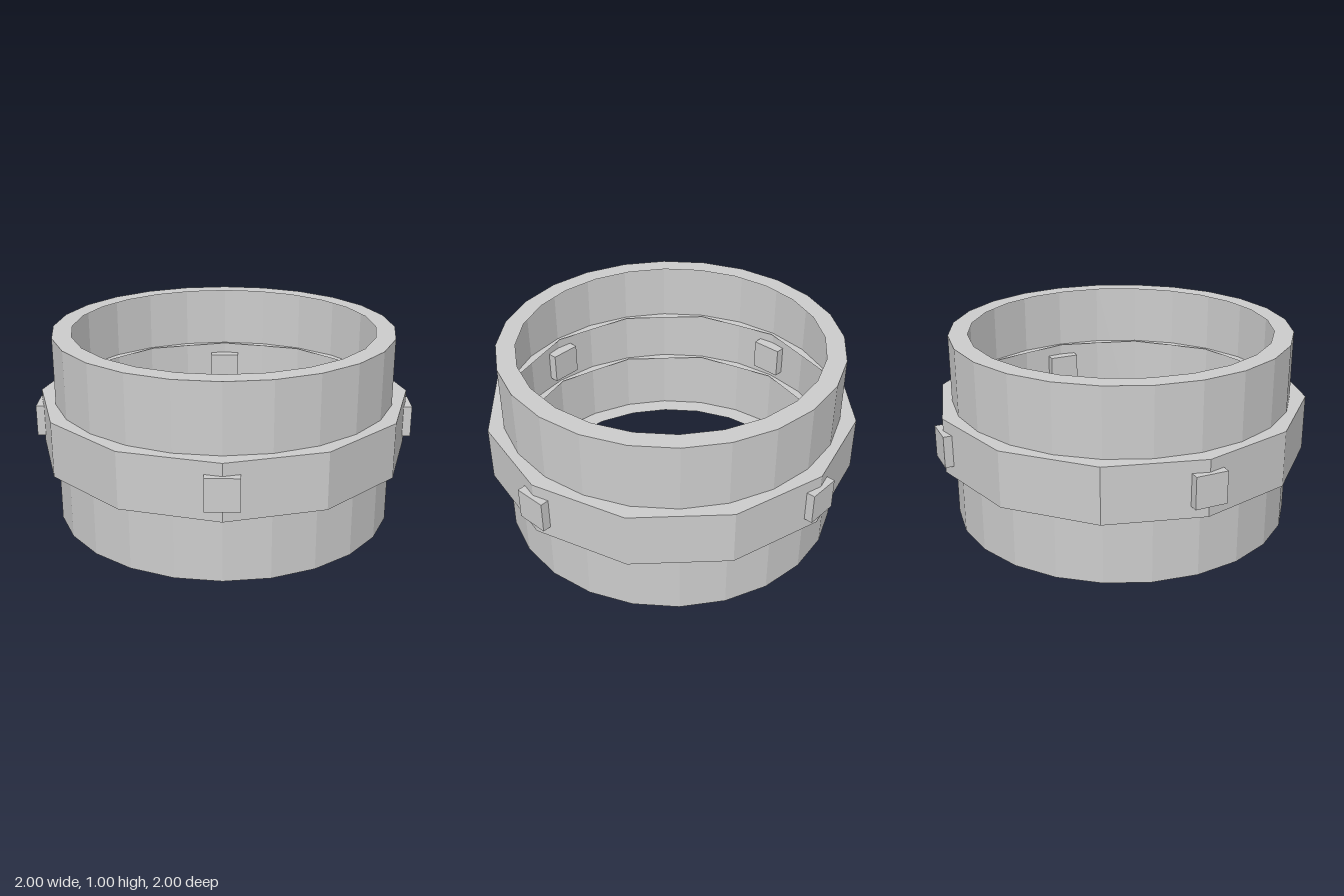
import * as THREE from 'three';

// Open hoop: outer wall plus a flat rim at top and bottom, no inner wall
function makeHoop(name, outer, inner, y0, y1, sides, material) {
  const hoop = new THREE.Group();
  hoop.name = name;

  const wall = new THREE.Mesh(
    new THREE.CylinderGeometry(outer, outer, y1 - y0, sides, 1, true), material);
  wall.name = name + 'Wall';
  wall.position.y = (y0 + y1) / 2;
  hoop.add(wall);

  for (const [label, y, tilt] of [['TopRim', y1, -1], ['BottomRim', y0, 1]]) {
    const rim = new THREE.Mesh(new THREE.RingGeometry(inner, outer, sides), material);
    rim.name = name + label;
    rim.rotation.x = tilt * Math.PI / 2;
    rim.position.y = y;
    hoop.add(rim);
  }
  return hoop;
}

export function createModel() {
  const model = new THREE.Group();
  model.name = 'bandedRing';

  const grey = new THREE.MeshStandardMaterial({
    color: 0xcccccc, flatShading: true, side: THREE.DoubleSide });
  grey.name = 'light grey';

  // Main ring and the coarser band around its middle
  model.add(makeHoop('ring', 0.895, 0.795, 0, 1, 24, grey));
  model.add(makeHoop('band', 0.978, 0.878, 0.355, 0.647, 12, grey));

  // Four studs pushed through the band
  const size = 0.166;
  for (let i = 0; i < 4; i++) {
    const angle = i * Math.PI / 2;
    const stud = new THREE.Mesh(new THREE.BoxGeometry(size, size, size), grey);
    stud.name = 'stud' + (i + 1);
    const r = 1 - size / 2;
    stud.position.set(Math.sin(angle) * r, 0.5, Math.cos(angle) * r);
    stud.rotation.y = angle;
    model.add(stud);
  }
  return model;
}
